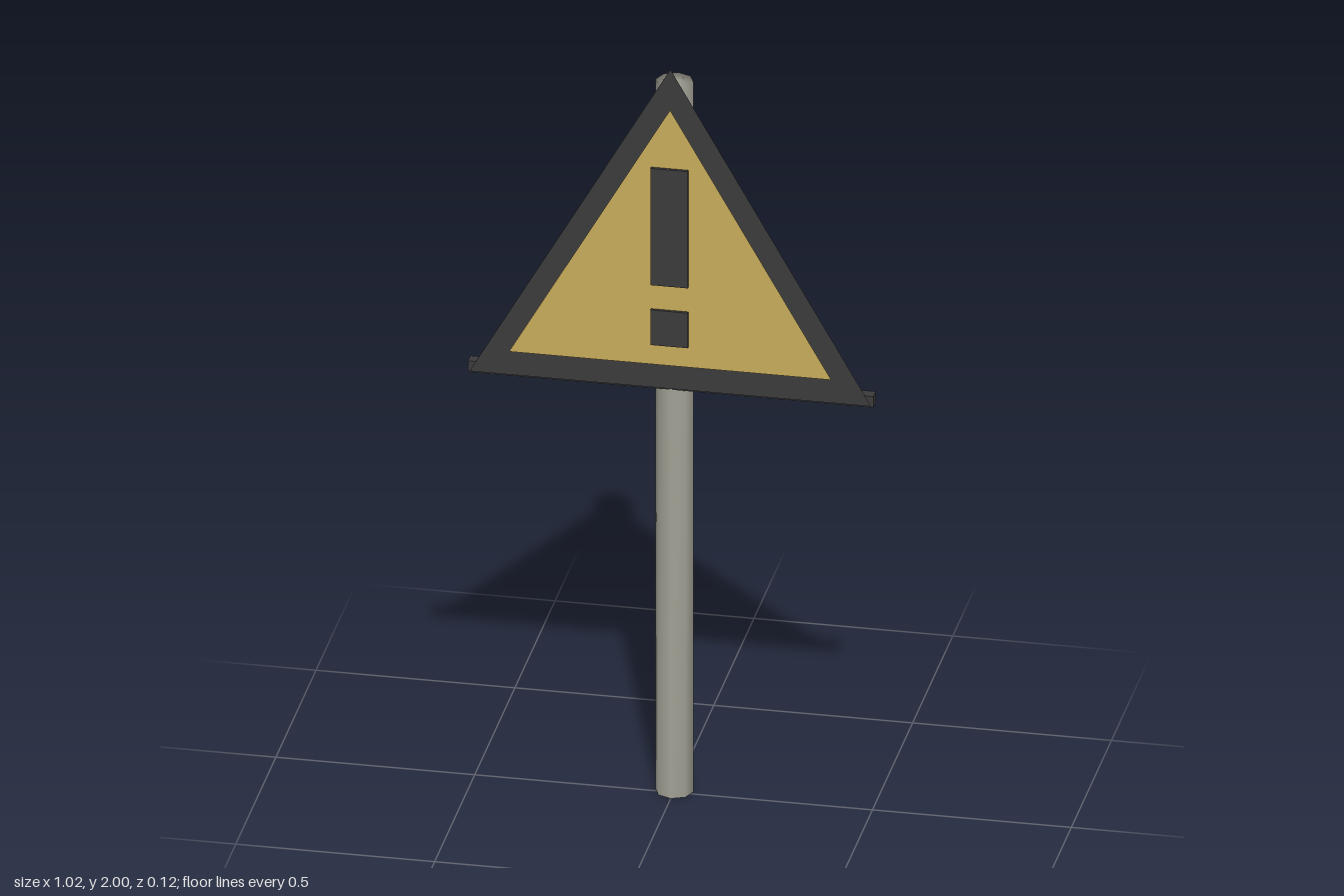
import * as THREE from 'three';
import { mergeVertices } from 'three/addons/utils/BufferGeometryUtils.js';

const POST_RADIUS = 0.0475;
const POST_HEIGHT = 1.945;

function material(name, color, side = THREE.FrontSide) {
  const m = new THREE.MeshStandardMaterial({ color, side });
  m.name = name;
  return m;
}

function addMesh(parent, name, geometry, mat, x, y, z) {
  const mesh = new THREE.Mesh(geometry, mat);
  mesh.name = name;
  mesh.position.set(x, y, z);
  parent.add(mesh);
  return mesh;
}

// Flat upright triangle, given its base height, apex height and half width
function triangle(base, apex, half) {
  return new THREE.ShapeGeometry(new THREE.Shape([
    new THREE.Vector2(-half, base),
    new THREE.Vector2(half, base),
    new THREE.Vector2(0, apex),
  ]));
}

// Eight-sided post whose caps share smooth normals with the sides
function postGeometry() {
  const g = new THREE.CylinderGeometry(POST_RADIUS, POST_RADIUS, POST_HEIGHT, 8);
  g.deleteAttribute('normal');
  g.deleteAttribute('uv');
  const merged = mergeVertices(g, 1e-4);
  merged.computeVertexNormals();
  return merged;
}

export function createModel() {
  const model = new THREE.Group();
  model.name = 'warningSign';

  const grey = material('postGrey', 0xa3a296);
  const dark = material('darkGrey', 0x3b3b3b, THREE.DoubleSide);
  const yellow = material('signYellow', 0xc8ac5a);

  addMesh(model, 'post', postGeometry(), grey, 0, POST_HEIGHT / 2, -0.0115);

  // Sign: dark backing, yellow face and a bar along the lower edge
  const sign = new THREE.Group();
  sign.name = 'sign';
  model.add(sign);
  addMesh(sign, 'backing', triangle(1.125, 2, 0.505), dark, 0, 0, 0.04);
  addMesh(sign, 'face', triangle(1.19, 1.89, 0.405), yellow, 0, 0, 0.044);
  addMesh(sign, 'lowerBar', new THREE.BoxGeometry(1.02, 0.03, 0.03), dark, 0, 1.135, 0.02);

  // Warning mark: tall stroke above a square dot
  addMesh(sign, 'markStroke', new THREE.BoxGeometry(0.094, 0.32, 0.008), dark, 0, 1.572, 0.052);
  addMesh(sign, 'markDot', new THREE.BoxGeometry(0.094, 0.096, 0.008), dark, 0, 1.296, 0.052);

  return model;
}
